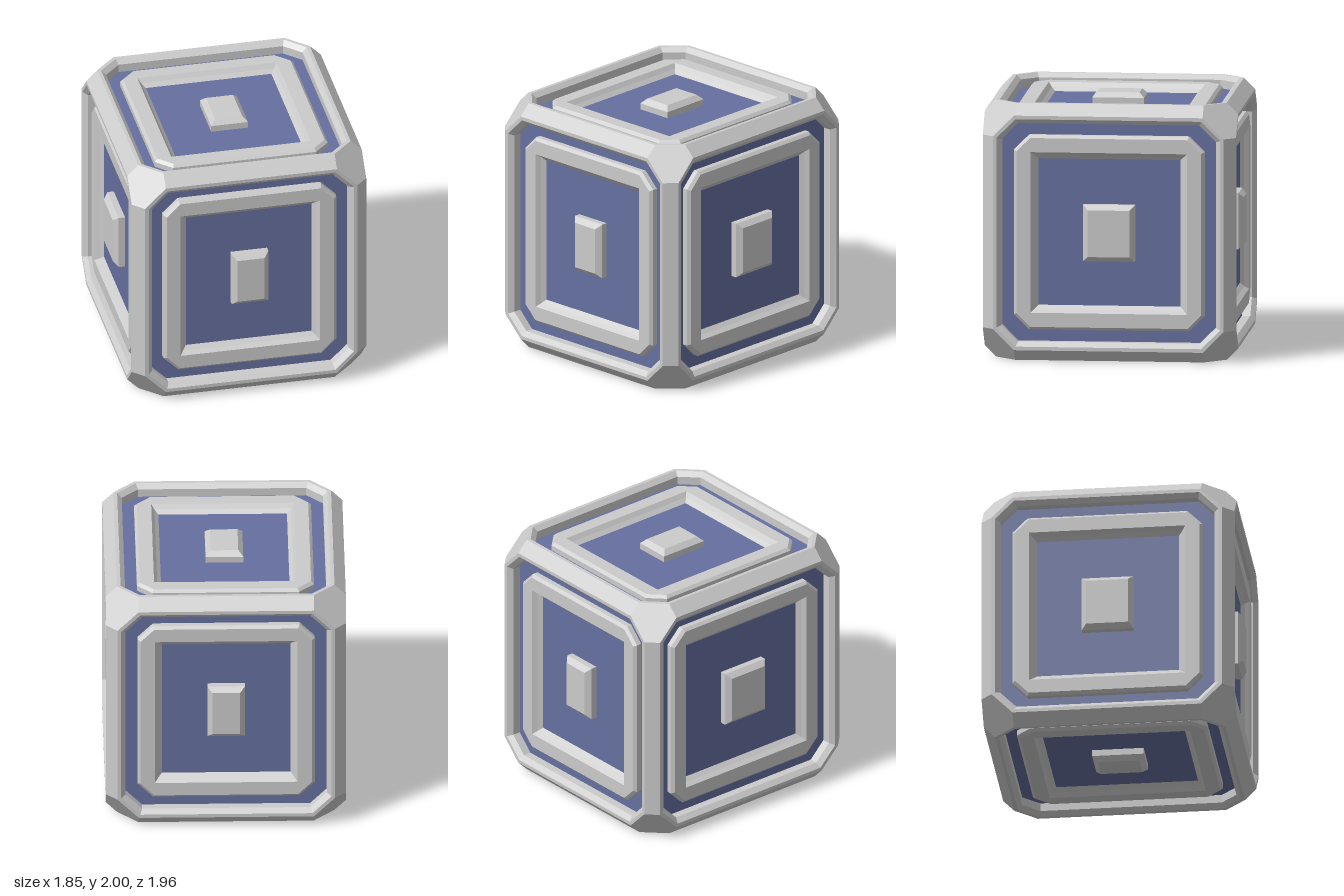
import * as THREE from 'three';

const HALF = [0.925, 1.0, 0.98]; // half extents on x, y, z
const BEVEL = 0.087;             // edge chamfer
const CORNER = 0.25;             // length the corner cut takes from each edge
const PANEL_DEPTH = 0.1;

const grey = new THREE.MeshStandardMaterial({ color: 0xcccccc, flatShading: true });
const blue = new THREE.MeshStandardMaterial({ color: 0x6670a0, flatShading: true });

// Flat-shaded mesh from convex polygons, each fanned into triangles
function polyMesh(name, polygons, material) {
  const pos = [];
  for (const p of polygons) {
    for (let i = 1; i < p.length - 1; i++) {
      const tri = new THREE.Triangle(p[0], p[i], p[i + 1]);
      if (tri.getArea() < 1e-7) continue;
      for (const v of [tri.a, tri.b, tri.c]) pos.push(v.x, v.y, v.z);
    }
  }
  const geo = new THREE.BufferGeometry();
  geo.setAttribute('position', new THREE.Float32BufferAttribute(pos, 3));
  geo.computeVertexNormals();
  const mesh = new THREE.Mesh(geo, material);
  mesh.name = name;
  return mesh;
}

// Counter-clockwise rectangle with cut corners
function ring(w, h, z, cut) {
  return [
    [w, -h + cut], [w, h - cut], [w - cut, h], [-w + cut, h],
    [-w, h - cut], [-w, -h + cut], [-w + cut, -h], [w - cut, -h],
  ].map(([x, y]) => new THREE.Vector3(x, y, z));
}

// Joins successive rings from outside to inside, optionally capping the last
function loft(rings, cap = false) {
  const polygons = [];
  for (let r = 0; r < rings.length - 1; r++) {
    const a = rings[r], b = rings[r + 1];
    for (let i = 0; i < 8; i++) {
      const j = (i + 1) % 8;
      // split by hand so collapsed corners still give a triangle
      polygons.push([a[i], a[j], b[j]], [a[i], b[j], b[i]]);
    }
  }
  if (cap) polygons.push(rings[rings.length - 1]);
  return polygons;
}

// One side of the box: rim, recessed panel, raised frame and centre block
function makeSide(name, n, sign) {
  const u = (n + 1) % 3, v = (n + 2) % 3;
  // each entry: inset from the box edge, depth below the surface, corner cut
  const rings = (list) => list.map(([inset, depth, cut]) =>
    ring(HALF[u] - inset, HALF[v] - inset, HALF[n] - depth, cut));

  const side = new THREE.Group();
  side.name = name;
  side.add(
    polyMesh('rim', loft(rings([
      [BEVEL, 0, CORNER - BEVEL], [0.115, 0, 0.147], [0.15, 0.035, 0.127], [0.15, PANEL_DEPTH, 0.127],
    ])), grey),
    polyMesh('panel', loft(rings([[0.15, PANEL_DEPTH, 0.127]]), true), blue),
    polyMesh('raisedFrame', loft(rings([
      [0.243, PANEL_DEPTH, 0.118], [0.243, 0.058, 0.118], [0.265, 0.036, 0.106],
      [0.375, 0.036, 0], [0.4, 0.07, 0], [0.43, PANEL_DEPTH, 0],
    ])), grey),
    polyMesh('centreBlock', loft(rings([
      [0.78, PANEL_DEPTH, 0], [0.78, 0.05, 0], [0.818, 0.012, 0],
    ]), true), grey),
  );

  // turn the local x, y, z onto the axes u, v, n
  const axis = (i, s) => new THREE.Vector3().setComponent(i, s);
  side.quaternion.setFromRotationMatrix(
    new THREE.Matrix4().makeBasis(axis(u, sign), axis(v, 1), axis(n, sign)));
  return side;
}

// Orders a polygon so that it faces away from the middle of the box
function outward(p) {
  const normal = new THREE.Triangle(p[0], p[1], p[2]).getNormal(new THREE.Vector3());
  return normal.dot(p[0]) < 0 ? p.reverse() : p;
}

// Point inset from a box corner; insets and signs are per axis
const cornerPoint = (inset, s) => new THREE.Vector3(...HALF.map((h, i) => s[i] * (h - inset[i])));

export function createModel() {
  const model = new THREE.Group();
  const box = new THREE.Group();
  box.name = 'box';
  box.position.y = 1;
  model.add(box);

  // six sides
  const names = [['rightSide', 'leftSide'], ['bottomSide', 'topSide'], ['backSide', 'frontSide']];
  names.forEach((pair, n) => pair.forEach((name, k) => box.add(makeSide(name, n, k ? 1 : -1))));

  // twelve chamfered edges
  const edges = [];
  for (let k = 0; k < 3; k++) {
    const i = (k + 1) % 3, j = (k + 2) % 3;
    for (const si of [-1, 1]) for (const sj of [-1, 1]) {
      const point = (insetI, insetJ, sk) => {
        const inset = [], s = [];
        inset[i] = insetI; inset[j] = insetJ; inset[k] = CORNER;
        s[i] = si; s[j] = sj; s[k] = sk;
        return cornerPoint(inset, s);
      };
      edges.push(outward([point(0, BEVEL, -1), point(BEVEL, 0, -1), point(BEVEL, 0, 1), point(0, BEVEL, 1)]));
    }
  }
  box.add(polyMesh('edgeBevels', edges, grey));

  // eight six-sided corners
  const B = BEVEL, C = CORNER;
  const hexagon = [[0, B, C], [B, 0, C], [C, 0, B], [C, B, 0], [B, C, 0], [0, C, B]];
  const corners = [];
  for (const x of [-1, 1]) for (const y of [-1, 1]) for (const z of [-1, 1]) {
    corners.push(outward(hexagon.map((inset) => cornerPoint(inset, [x, y, z]))));
  }
  box.add(polyMesh('cornerCaps', corners, grey));

  return model;
}
